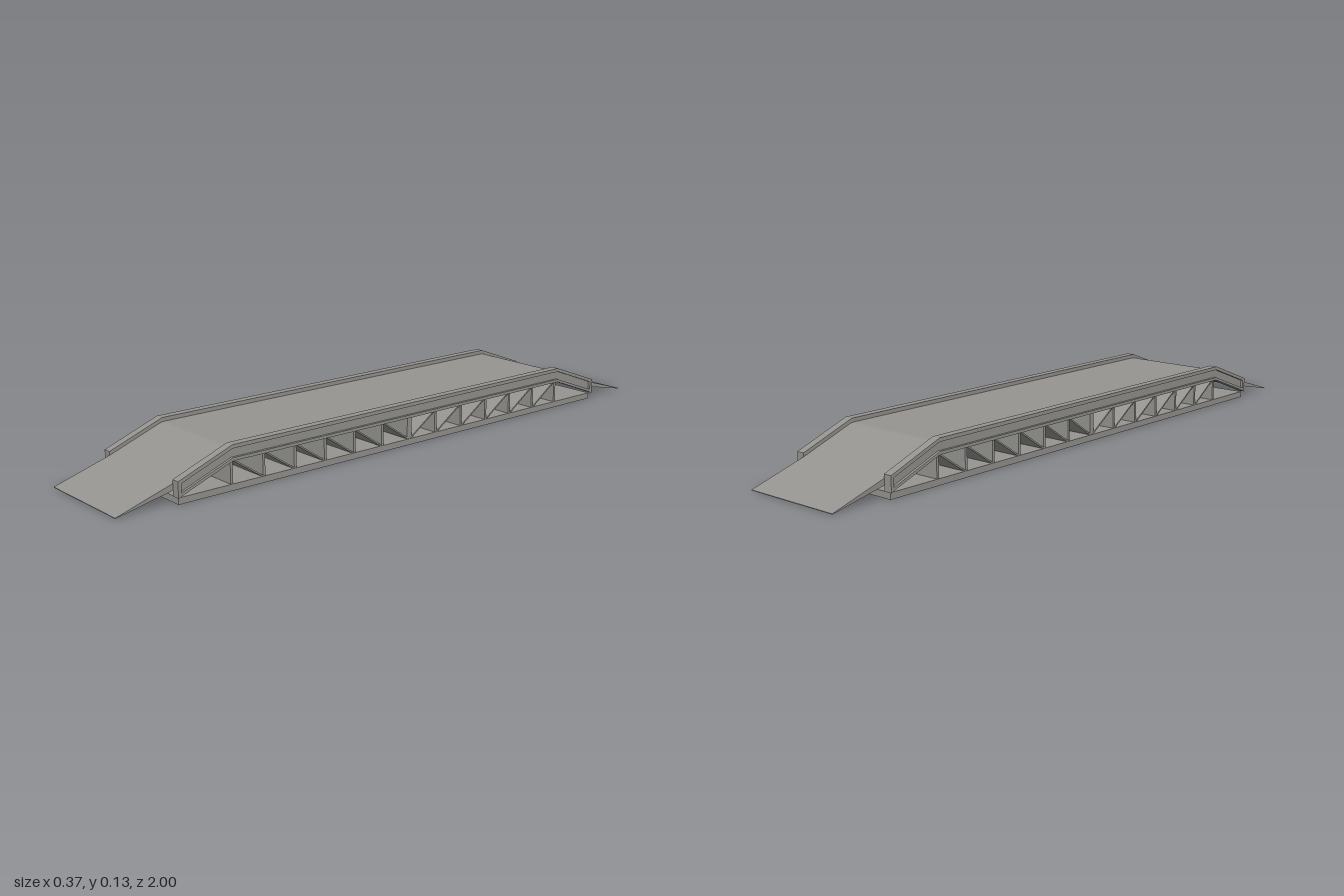
import * as THREE from 'three';

const material = new THREE.MeshStandardMaterial({ color: 0x959490, flatShading: true });

// Extrudes a side profile of [z, y] points across the width from x0 to x1
function slab(name, points, x0, x1) {
  const shape = new THREE.Shape(points.map(([z, y]) => new THREE.Vector2(z, y)));
  const geometry = new THREE.ExtrudeGeometry(shape, { depth: x1 - x0, bevelEnabled: false });
  geometry.rotateY(-Math.PI / 2).translate(x1, 0, 0);
  const mesh = new THREE.Mesh(geometry, material);
  mesh.name = name;
  return mesh;
}

// Completes a front half profile with its mirror image at the back
const mirrored = (half) => [...half, ...half.map(([z, y]) => [-z, y]).reverse()];

// Band following the bent beam line, between two offsets measured below its top
const band = (top, bottom) => [
  ...mirrored([[0.825, 0.067 - top], [0.65, 0.133 - top]]),
  ...mirrored([[-0.825, 0.067 - bottom], [-0.65, 0.133 - bottom]]),
];

export function createModel() {
  const bridge = new THREE.Group();
  bridge.name = 'bridge';

  // Roadway with a softened bend and a tapering ramp at each end
  const deck = [
    ...mirrored([[1, 0.002], [0.825, 0.056], [0.659, 0.118], [0.652, 0.12], [0.643, 0.121]]),
    ...mirrored([[-1, 0], [-0.825, 0.037], [-0.65, 0.09]]),
  ];
  bridge.add(slab('deck', deck, -0.162, 0.162));

  // Bottom plate
  bridge.add(slab('bottomPlate', mirrored([[0.82, 0], [0.82, 0.019]]), -0.178, 0.178));

  // Channel beams with flanges and end caps along both sides
  for (const side of [-1, 1]) {
    const beam = new THREE.Group();
    beam.name = side > 0 ? 'leftBeam' : 'rightBeam';
    const add = (name, points, inner, outer) =>
      beam.add(slab(name, points, Math.min(side * inner, side * outer), Math.max(side * inner, side * outer)));
    add('web', band(0.001, 0.045), 0.161, 0.179);
    add('topFlange', band(0, 0.011), 0.161, 0.187);
    add('bottomFlange', band(0.037, 0.046), 0.161, 0.187);
    for (const end of [-1, 1]) {
      const cap = [[0.825, 0.02], [0.825, 0.067], [0.815, 0.07], [0.815, 0.024]];
      add('endCap', cap.map(([z, y]) => [z * end, y]), 0.161, 0.187);
    }
    bridge.add(beam);
  }

  // Cross walls: uprights at every panel point
  const pitch = 0.108, low = 0.016, high = 0.09, half = 0.176;
  for (let i = -6; i <= 6; i++) {
    const z = i * pitch, t = i === 0 ? 0.009 : 0.004;
    bridge.add(slab('upright', [[z - t, low], [z + t, low], [z + t, high], [z - t, high]], -half, half));
  }

  // Diagonal walls falling toward the middle
  for (const end of [-1, 1]) {
    for (let i = 1; i <= 6; i++) {
      const top = end * i * pitch, foot = end * (i - 1) * pitch, t = 0.004;
      bridge.add(slab('diagonal', [[foot - t, low], [foot + t, low], [top + t, high], [top - t, high]], -half, half));
    }
  }
  return bridge;
}
